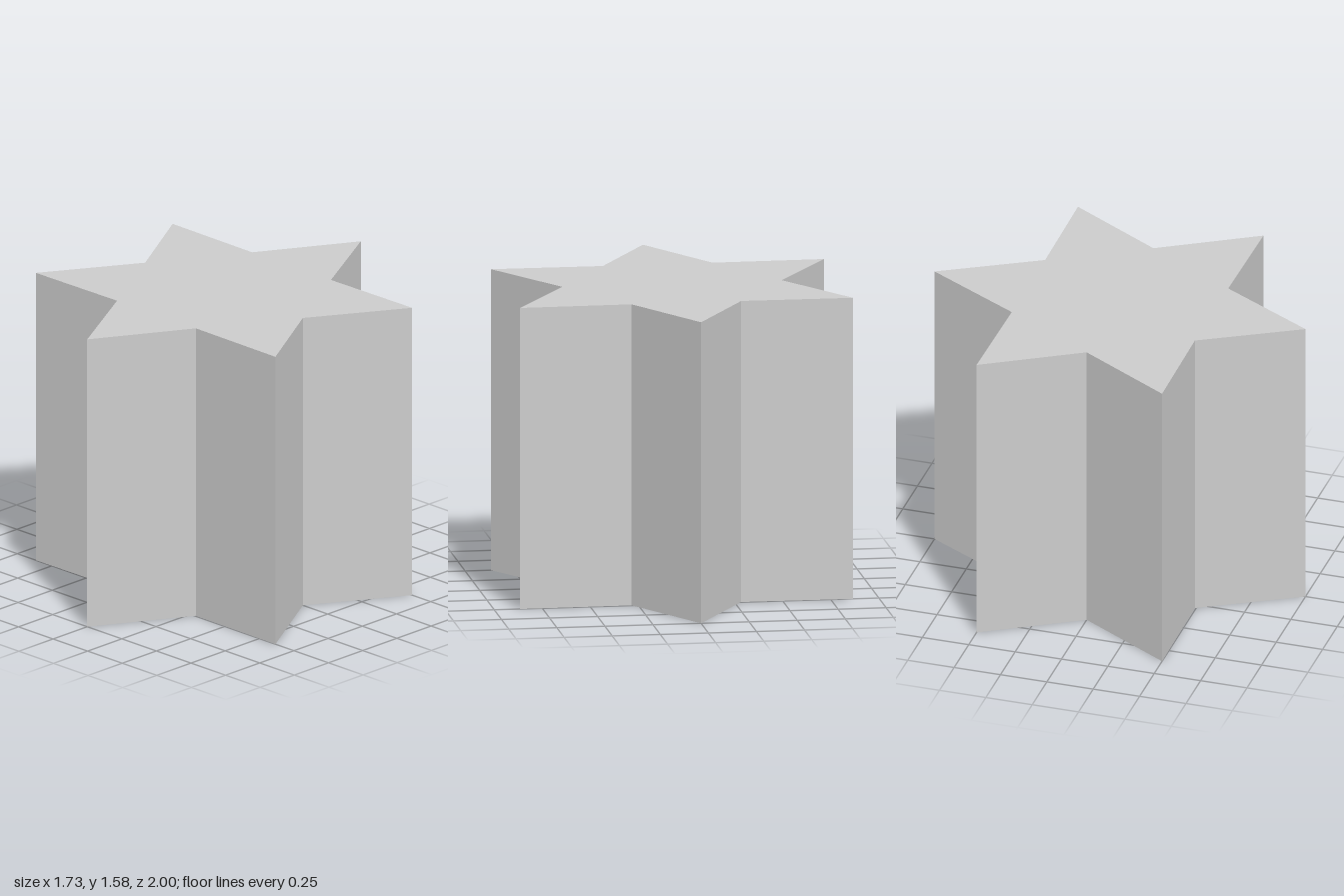
import * as THREE from 'three';

const POINTS = 6, OUTER = 1, INNER = 0.57, HEIGHT = 1.58;

// Star outline with one tip on the front-back axis
function starShape() {
  const corners = [];
  for (let i = 0; i < POINTS * 2; i++) {
    const angle = Math.PI / 2 + (i * Math.PI) / POINTS;
    const radius = i % 2 ? INNER : OUTER;
    corners.push(new THREE.Vector2(radius * Math.cos(angle), radius * Math.sin(angle)));
  }
  return new THREE.Shape(corners);
}

export function createModel() {
  const group = new THREE.Group();
  group.name = 'starPrism';

  // Solid star-shaped column, extruded upwards from the ground
  const geometry = new THREE.ExtrudeGeometry(starShape(), { depth: HEIGHT, bevelEnabled: false });
  geometry.rotateX(-Math.PI / 2);
  const material = new THREE.MeshStandardMaterial({ color: 0xcccccc, flatShading: true });
  const column = new THREE.Mesh(geometry, material);
  column.name = 'starColumn';
  group.add(column);

  return group;
}
